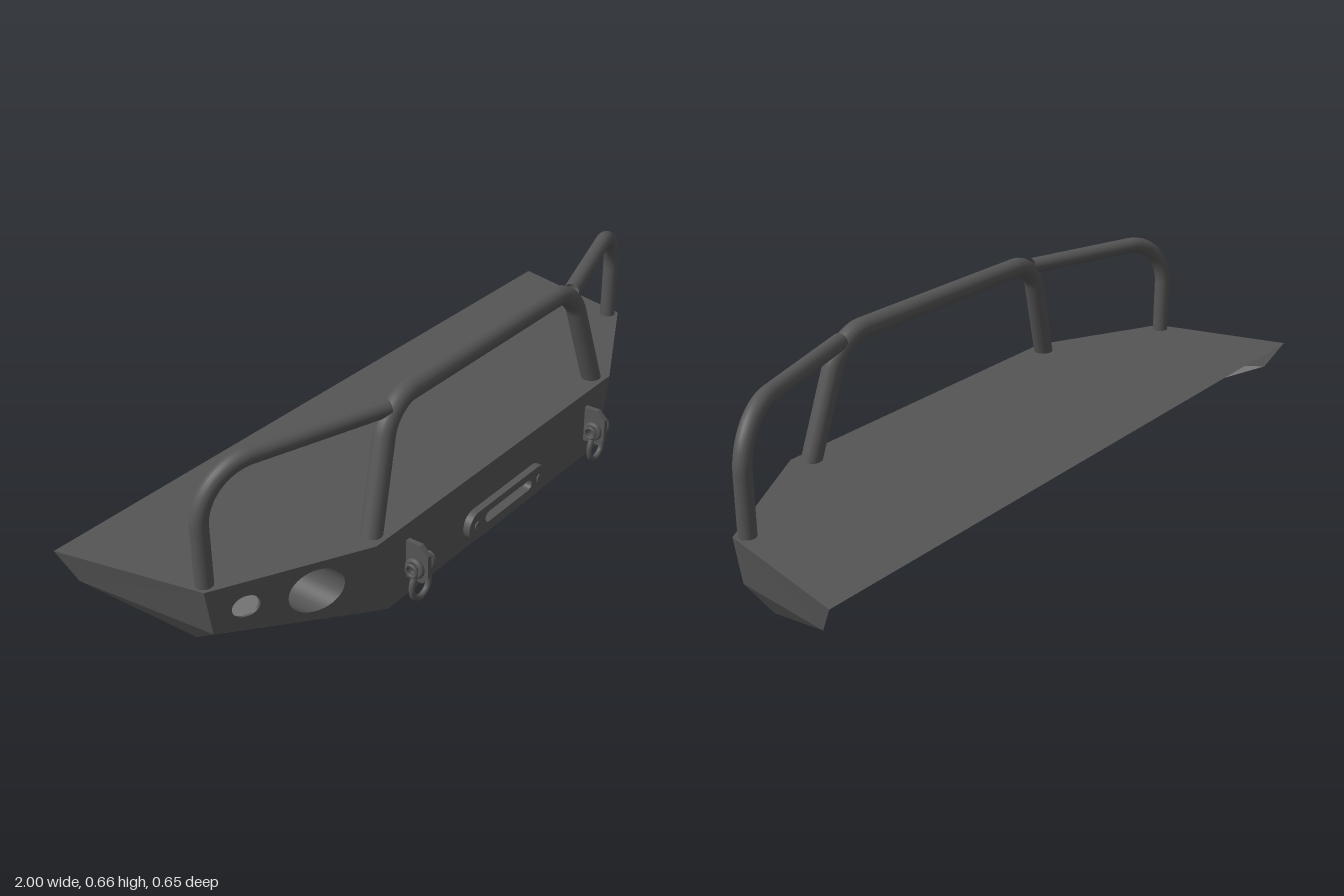
import * as THREE from 'three';

const steel = new THREE.MeshStandardMaterial({ color: 0x555555, side: THREE.DoubleSide });
const glass = new THREE.MeshStandardMaterial({ color: 0xcccccc, side: THREE.DoubleSide });
const V = (p) => new THREE.Vector3(...p);

function add(parent, name, geometry, material = steel) {
  const mesh = new THREE.Mesh(geometry, material);
  mesh.name = name;
  parent.add(mesh);
  return mesh;
}

// Flat convex plate from its corners, counter-clockwise seen from outside
function plate(...corners) {
  const pos = [];
  for (let i = 1; i < corners.length - 1; i++) pos.push(...corners[0], ...corners[i], ...corners[i + 1]);
  const g = new THREE.BufferGeometry();
  g.setAttribute('position', new THREE.Float32BufferAttribute(pos, 3));
  g.computeVertexNormals();
  return g;
}

function outline(points, holes = []) {
  const s = new THREE.Shape(points.map((p) => new THREE.Vector2(...p)));
  s.holes.push(...holes);
  return s;
}

const circle = (x, y, r) => new THREE.Path().absarc(x, y, r, 0, Math.PI * 2, true);

// Horizontal stadium outline: half length a, end radius r
function stadium(path, y, a, r) {
  path.absarc(a, y, r, -Math.PI / 2, Math.PI / 2, false);
  path.absarc(-a, y, r, Math.PI / 2, Math.PI * 1.5, false);
  path.closePath();
  return path;
}

// Bent tube through points, corners rounded over the given distance
function bentTube(points, bend, radius) {
  const path = new THREE.CurvePath();
  const pts = points.map(V);
  let last = pts[0];
  for (let i = 1; i < pts.length - 1; i++) {
    const p = pts[i];
    const a = p.clone().add(pts[i - 1].clone().sub(p).setLength(bend));
    const b = p.clone().add(pts[i + 1].clone().sub(p).setLength(bend));
    const c1 = a.clone().lerp(p, 0.55), c2 = b.clone().lerp(p, 0.55);
    path.add(new THREE.LineCurve3(last, a));
    path.add(new THREE.CubicBezierCurve3(a, c1, c2, b));
    last = b;
  }
  path.add(new THREE.LineCurve3(last, pts[pts.length - 1]));
  return new THREE.TubeGeometry(path, 120, radius, 20, false);
}

// Corners of the left half of the shell
const TOP = 0.32;
const frontTop = [0.53, TOP, 0.262], frontLow = [0.49, 0.113, 0.262];
const wingTop = [0.905, TOP, 0.068], wingLow = [0.885, 0.19, 0.066];
const backTop = [1, TOP, -0.327], backLow = [0.975, 0.24, -0.28];
const chin = [0.46, 0, 0.105], chinIn = [0.46, 0, 0.077];
const heel = [0.867, 0.133, -0.012], heelIn = [0.862, 0.129, -0.035];
const flip = ([x, y, z]) => [-x, y, z];
const wingZ = (x, y) => 0.262 - 0.517 * (x - 0.53) + 0.1 * (y - TOP);

// Round lamp housing running back from the wing panel, its front cut to the panel
function lampTube(x, y, r, back) {
  const g = new THREE.CylinderGeometry(r, r, 1, 40, 1, true).rotateX(Math.PI / 2).translate(x, y, 0);
  const p = g.attributes.position;
  for (let i = 0; i < p.count; i++) p.setZ(i, p.getZ(i) > 0 ? wingZ(p.getX(i), p.getY(i)) : back);
  return g;
}

function buildSide() {
  const side = new THREE.Group();
  const fog = [0.66, 0.235, 0.063], marker = [0.815, 0.247, 0.031];

  // Wing panel with two lamp openings, laid onto its slanted plane
  const wing = new THREE.ShapeGeometry(
    outline([frontLow, wingLow, wingTop, frontTop].map((p) => p.slice(0, 2)), [circle(...fog), circle(...marker)]), 20);
  const p = wing.attributes.position;
  for (let i = 0; i < p.count; i++) p.setZ(i, wingZ(p.getX(i), p.getY(i)));
  wing.computeVertexNormals();
  add(side, 'wingPanel', wing);

  add(side, 'sidePanel', plate(wingTop, wingLow, backLow, backTop));
  add(side, 'sideLowerPanel', plate(wingLow, heel, backLow));
  add(side, 'wingChamfer', plate(frontLow, chin, heel, wingLow));
  add(side, 'lowerLip', plate(chin, chinIn, heelIn, heel));
  add(side, 'rearLip', plate(heel, heelIn, backLow));

  // Lamp housings
  add(side, 'fogLampTube', lampTube(...fog, -0.03));
  add(side, 'markerLampTube', lampTube(...marker, -0.06));
  add(side, 'markerTubeCap', new THREE.CircleGeometry(marker[2], 32).translate(marker[0], marker[1], -0.06));
  const lens = new THREE.CircleGeometry(marker[2], 32).translate(marker[0], marker[1], 0);
  const q = lens.attributes.position;
  for (let i = 0; i < q.count; i++) q.setZ(i, wingZ(q.getX(i), q.getY(i)) - 0.007);
  lens.computeVertexNormals();
  add(side, 'markerLens', lens, glass);

  // Side hoop
  add(side, 'sideHoop', bentTube([[0.88, 0.315, 0.045], [0.88, 0.615, 0.045], [0.4, 0.615, 0.197]], 0.14, 0.0225));

  side.add(buildShackle());
  return side;
}

// Recovery tab with a hanging shackle
function buildShackle() {
  const g = new THREE.Group();
  g.name = 'recoveryShackle';
  g.position.set(0.41, 0.217, 0.3);

  // Tab drawn as (z, y) and turned to stand fore and aft
  const tab = new THREE.ExtrudeGeometry(
    outline([[-0.04, -0.049], [0.012, -0.049], [0.028, -0.03], [0.028, 0.034], [0.004, 0.058], [-0.04, 0.058]],
      [circle(0, 0, 0.012)]), { depth: 0.014, bevelEnabled: false, curveSegments: 16 });
  add(g, 'recoveryTab', tab.translate(0, 0, -0.007).rotateY(-Math.PI / 2));

  const pin = new THREE.CylinderGeometry(0.013, 0.013, 0.08, 24, 1, true).rotateZ(Math.PI / 2);
  add(g, 'hollowPin', pin);
  for (const x of [-0.022, 0.022]) {
    add(g, 'shackleEar', new THREE.TorusGeometry(0.02, 0.008, 12, 28).rotateY(Math.PI / 2)).position.x = x;
  }
  for (const x of [-0.036, 0.036]) {
    add(g, 'pinCollar', new THREE.TorusGeometry(0.016, 0.004, 10, 24).rotateY(Math.PI / 2)).position.x = x;
  }
  const bow = new THREE.CatmullRomCurve3(
    [[-0.022, -0.02, 0], [-0.034, -0.05, 0], [-0.027, -0.083, 0], [0, -0.097, 0],
      [0.027, -0.083, 0], [0.034, -0.05, 0], [0.022, -0.02, 0]].map(V));
  add(g, 'shackleBow', new THREE.TubeGeometry(bow, 48, 0.008, 12, false));
  return g;
}

export function createModel() {
  const model = new THREE.Group();
  model.name = 'frontBumper';

  // Centre plates
  const half = [frontTop, wingTop, backTop];
  add(model, 'topPlate', plate(...half, ...half.map(flip).reverse()));
  const slot = () => stadium(new THREE.Path(), 0.18, 0.092, 0.016);
  const face = outline([flip(frontLow), frontLow, frontTop, flip(frontTop)].map((p) => p.slice(0, 2)), [slot()]);
  add(model, 'frontPanel', new THREE.ShapeGeometry(face, 16).translate(0, 0, 0.262));
  add(model, 'frontChamfer', plate(flip(frontLow), flip(chin), chin, frontLow));
  add(model, 'bottomLip', plate(flip(chin), flip(chinIn), chinIn, chin));

  // Winch cable guide with its bolts
  const guide = stadium(new THREE.Shape(), 0.176, 0.138, 0.041);
  guide.holes.push(slot());
  add(model, 'cableGuide',
    new THREE.ExtrudeGeometry(guide, { depth: 0.02, bevelEnabled: false, curveSegments: 16 }).translate(0, 0, 0.262));
  for (const x of [-0.143, 0.143]) {
    add(model, 'guideBolt', new THREE.CylinderGeometry(0.014, 0.014, 0.005, 6).rotateX(Math.PI / 2))
      .position.set(x, 0.178, 0.283);
  }

  // Centre hoop
  add(model, 'centreHoop', bentTube(
    [[-0.498, 0.315, 0.221], [-0.398, 0.628, 0.198], [0.398, 0.628, 0.198], [0.498, 0.315, 0.221]], 0.08, 0.0275));

  // Mirrored halves
  for (const s of [1, -1]) {
    const side = buildSide();
    side.name = s > 0 ? 'leftSide' : 'rightSide';
    side.scale.x = s;
    model.add(side);
  }
  return model;
}
